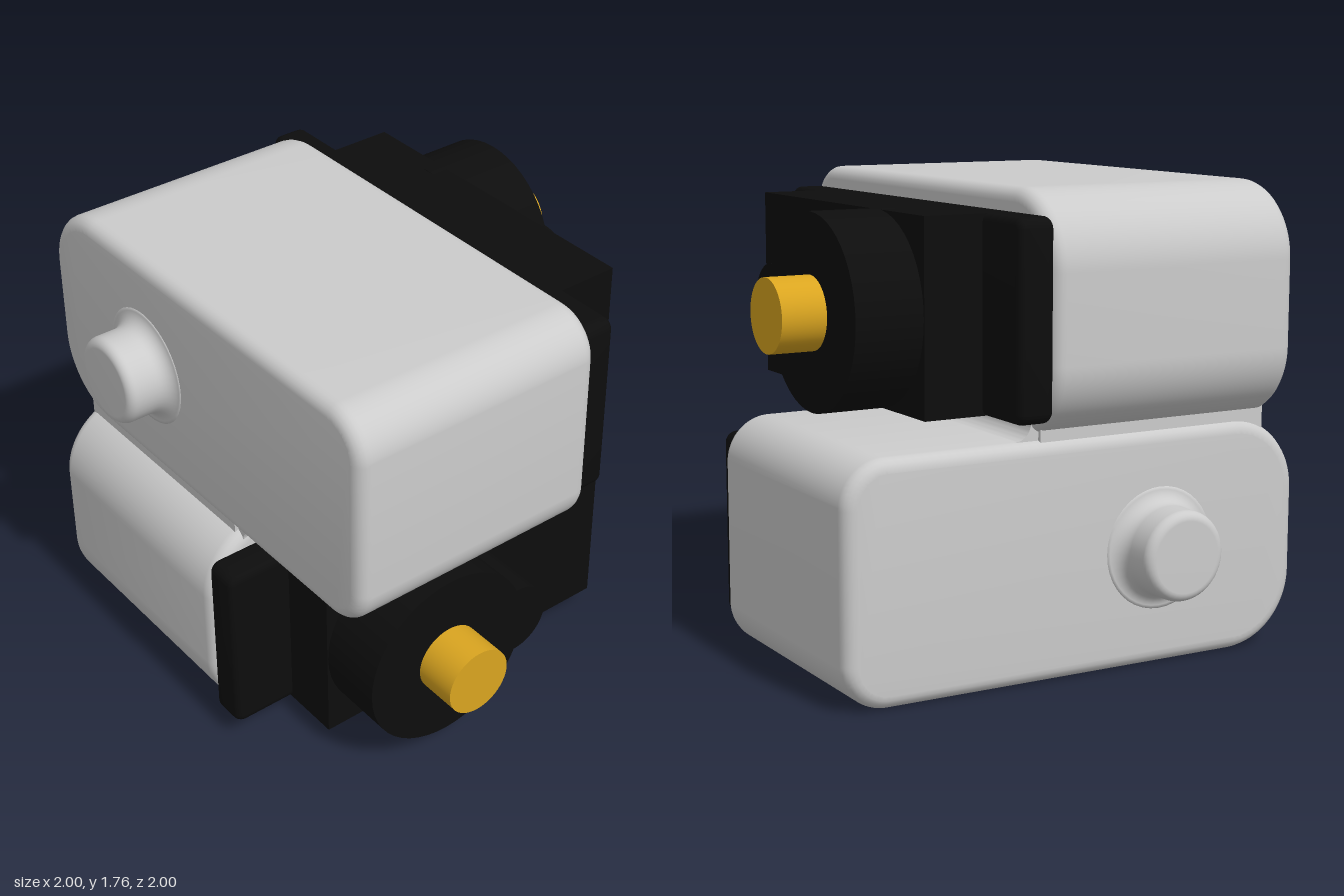
import * as THREE from 'three';
import { toCreasedNormals } from 'three/addons/utils/BufferGeometryUtils.js';

const grey = new THREE.MeshStandardMaterial({ color: 0xcccccc });
const black = new THREE.MeshStandardMaterial({ color: 0x0d0d0d });
const gold = new THREE.MeshStandardMaterial({ color: 0xdaa520 });

function add(parent, name, geometry, material) {
  const mesh = new THREE.Mesh(geometry, material);
  mesh.name = name;
  parent.add(mesh);
  return mesh;
}

// Rectangle with separate corner radii for its left and right ends
function roundedRect(x0, x1, h, rl, rr) {
  const s = new THREE.Shape();
  s.moveTo(x0 + rl, -h);
  s.lineTo(x1 - rr, -h);
  s.absarc(x1 - rr, -h + rr, rr, -Math.PI / 2, 0);
  s.lineTo(x1, h - rr);
  s.absarc(x1 - rr, h - rr, rr, 0, Math.PI / 2);
  s.lineTo(x0 + rl, h);
  s.absarc(x0 + rl, h - rl, rl, Math.PI / 2, Math.PI);
  s.lineTo(x0, -h + rl);
  s.absarc(x0 + rl, -h + rl, rl, Math.PI, Math.PI * 1.5);
  return s;
}

// Slab between two depths with softened edges
function slab(shape, z0, z1, bevel) {
  const g = new THREE.ExtrudeGeometry(shape, {
    depth: z1 - z0 - 2 * bevel, bevelEnabled: true, bevelThickness: bevel,
    bevelSize: bevel, bevelOffset: -bevel, bevelSegments: 5, curveSegments: 14,
  });
  g.translate(0, 0, z0 + bevel);
  return toCreasedNormals(g, 0.6);
}

// One servo in its housing: long axis x, output shaft towards -z
function createServo(name) {
  const servo = new THREE.Group();
  servo.name = name;
  const axis = -0.327;

  add(servo, 'housing', slab(roundedRect(-0.945, 0.95, 0.44, 0.28, 0.17), -0.205, 0.825, 0.05), grey);

  // Idler boss: filleted base, rounded rim
  const profile = [new THREE.Vector2(0.228, 0.81)];
  for (let i = 0; i <= 8; i++) {
    const a = (i / 8) * Math.PI / 2;
    profile.push(new THREE.Vector2(0.228 - 0.06 * Math.sin(a), 0.885 - 0.06 * Math.cos(a)));
  }
  for (let i = 0; i <= 6; i++) {
    const a = (i / 6) * Math.PI / 2;
    profile.push(new THREE.Vector2(0.133 + 0.035 * Math.cos(a), 0.965 + 0.035 * Math.sin(a)));
  }
  profile.push(new THREE.Vector2(0, 1));
  const boss = add(servo, 'idlerBoss', new THREE.LatheGeometry(profile, 40).rotateX(Math.PI / 2), grey);
  boss.position.x = axis;

  // Mounting flange and servo case
  add(servo, 'mountingFlange', slab(roundedRect(-0.945, 0.893, 0.357, 0.045, 0.045), -0.34, -0.2, 0.03), black);
  const body = add(servo, 'servoCase', new THREE.BoxGeometry(1.325, 0.71, 0.28), black);
  body.position.set(-0.025, 0, -0.43);

  // Gear covers and output shaft
  const cylinder = (part, x, r, z0, z1, material) => {
    const m = add(servo, part, new THREE.CylinderGeometry(r, r, z1 - z0, 48).rotateX(Math.PI / 2), material);
    m.position.set(x, 0, (z0 + z1) / 2);
  };
  cylinder('gearCover', axis, 0.357, -0.83, -0.5, black);
  cylinder('smallGearCover', 0, 0.145, -0.83, -0.5, black);
  cylinder('outputShaft', axis, 0.135, -1, -0.8, gold);
  return servo;
}

// Concave strip, legs r along +x and +y, running along z
function filletStrip(r, length) {
  const s = new THREE.Shape();
  s.moveTo(-0.06, -0.06);
  s.lineTo(r, -0.06);
  s.lineTo(r, 0);
  s.absarc(r, r, r, Math.PI * 1.5, Math.PI, true);
  s.lineTo(-0.06, r);
  const g = new THREE.ExtrudeGeometry(s, { depth: length, bevelEnabled: false, curveSegments: 8 });
  return toCreasedNormals(g.translate(0, 0, -length / 2), 0.5);
}

export function createModel() {
  const model = new THREE.Group();
  model.name = 'doubleServoJoint';

  const upper = createServo('upperServo');
  upper.position.y = 1.325;
  model.add(upper);

  // Lower servo: same unit turned so its shaft points to +x
  const lower = createServo('lowerServo');
  lower.quaternion.setFromRotationMatrix(new THREE.Matrix4().makeBasis(
    new THREE.Vector3(0, 0, -1), new THREE.Vector3(0, -1, 0), new THREE.Vector3(-1, 0, 0)));
  lower.position.y = 0.444;
  model.add(lower);

  // Neck and blends where the two housings join
  const neck = add(model, 'neck', new THREE.BoxGeometry(0.97, 0.14, 0.97), grey);
  neck.position.set(-0.315, 0.885, 0.315);
  const side = add(model, 'sideBlend', filletStrip(0.065, 0.95), grey);
  side.rotation.x = Math.PI;
  side.position.set(0.2, 0.886, 0.31);
  const back = add(model, 'backBlend', filletStrip(0.065, 0.95), grey);
  back.rotation.y = Math.PI / 2;
  back.position.set(-0.31, 0.883, -0.2);
  return model;
}
